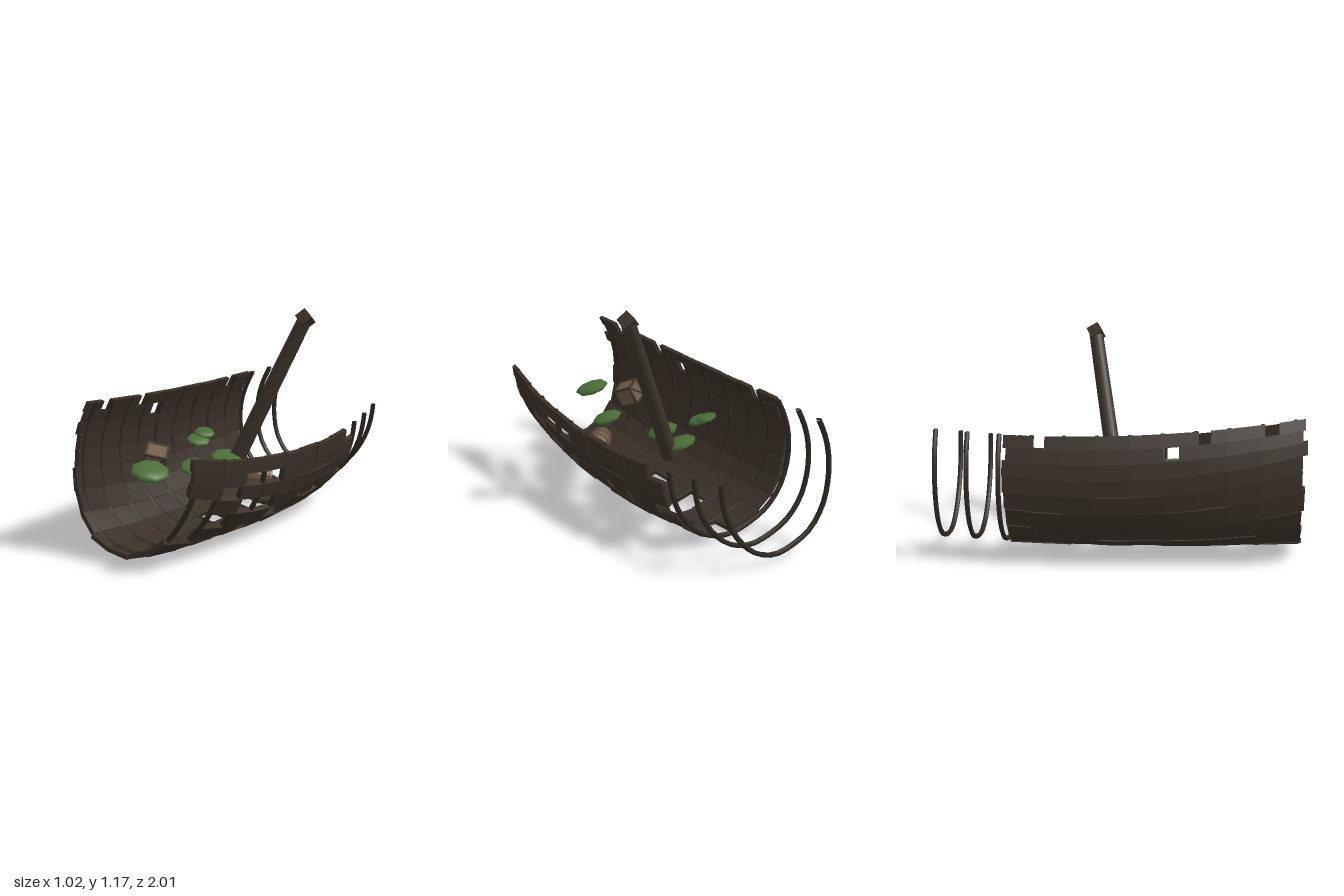
import * as THREE from 'three';
import { mergeGeometries } from 'three/addons/utils/BufferGeometryUtils.js';

const mat = (name, color) => Object.assign(new THREE.MeshStandardMaterial({ color }), { name });
const ROLL = 0.314, YAW = 0.149;
const RIBS = 12, RIB_GAP = 0.1695, RIB_START = -0.952;

// Point on the heeled hull: v along the keel, a from left gunwale (0) to right gunwale (PI)
function hullPoint(v, a, inset = 0) {
  const w = 0.396 - 0.085 * v * v - inset;
  const d = 0.573 + 0.04 * v + 0.04 * v * v - inset;
  const n = 2.6, c = Math.cos(a), s = Math.sin(a);
  const r = (Math.abs(c / w) ** n + Math.abs(s / d) ** n) ** (-1 / n);
  const p = -r * c * (1 + 0.21 * s * c * c), q = -r * s;
  const u = 0.053 + 0.015 * v + p * Math.cos(ROLL) + q * Math.sin(ROLL);
  const y = 0.58 + 0.042 * v + 0.072 * v * v - p * Math.sin(ROLL) + q * Math.cos(ROLL);
  return new THREE.Vector3(
    u * Math.cos(YAW) + v * Math.sin(YAW), y, -u * Math.sin(YAW) + v * Math.cos(YAW));
}

function seeded(seed) {
  return () => {
    seed = (seed * 16807) % 2147483647;
    return seed / 2147483647;
  };
}

export function createModel() {
  const model = new THREE.Group();
  model.name = 'shipwreck';
  const plankMat = mat('weathered planks', 0x3a3028);
  const ribMat = mat('dark ribs', 0x2f2821);
  const mastMat = mat('mast wood', 0x3d342a);
  const barrelMat = mat('barrel wood', 0x6b5540);
  const crateMat = mat('crate boards', 0x6e5a45);
  const frameMat = mat('crate frame', 0x40342a);
  const mossMat = mat('seaweed green', 0x4a6e38);

  function add(name, geometry, material, parent = model) {
    const mesh = new THREE.Mesh(geometry, material);
    mesh.name = name;
    parent.add(mesh);
    return mesh;
  }

  // Ribs, set into the planking
  for (let i = 0; i < RIBS; i++) {
    const v = RIB_START + i * RIB_GAP;
    const pts = [];
    for (let k = 0; k <= 14; k++) pts.push(hullPoint(v, (k / 14) * Math.PI, 0.001));
    add('rib', new THREE.TubeGeometry(new THREE.CatmullRomCurve3(pts), 28, 0.0135, 6), ribMat);
    for (const end of [0, 14]) {
      const cap = new THREE.SphereGeometry(0.0135, 6, 4).scale(1, 0.3, 1);
      cap.translate(pts[end].x, pts[end].y, pts[end].z);
      add('ribTip', cap, ribMat);
    }
  }

  // Planks: one row per bay from stern to bow, one column per strake.
  // 1 = whole plank, h = broken half plank, 0 = missing
  const bays = [
    '111111111101110110',
    'h1111111111h011111',
    '11111111100h11h111',
    '11111111111h11h111',
    '1111111110h1101111',
    '1h1111111111010101',
    'h11111111110110101',
    '111111111101101011',
    'h11111111111000111',
  ];
  const rand = seeded(71);
  const planks = [];
  bays.forEach((row, b) => {
    [...row].forEach((cell, k) => {
      const lift = (rand() - 0.5) * 0.008 - 0.004, j0 = rand() * 0.03, j1 = rand() * 0.03;
      if (cell === '0') return;
      const start = RIB_START + (b + 2) * RIB_GAP + (cell === 'h' ? RIB_GAP / 2 : 0);
      const v0 = start + (b === 0 ? j0 + 0.015 : -j0 * 0.6);
      const v1 = b === 8 ? 0.945 + j1 : RIB_START + (b + 3) * RIB_GAP + j1 * 0.6;
      const g = new THREE.BoxGeometry(1, 1, 1);
      const pos = g.attributes.position;
      for (let i = 0; i < pos.count; i++) {
        const a = ((k + 0.5 + pos.getX(i)) * Math.PI) / 18;
        const v = pos.getZ(i) > 0 ? v1 : v0;
        const p = hullPoint(v, a, lift + pos.getY(i) * 0.022);
        pos.setXYZ(i, p.x, p.y, p.z);
      }
      g.computeVertexNormals();
      planks.push(g);
    });
  });
  add('hullPlanks', mergeGeometries(planks), plankMat);

  // Leaning mast with a block on top and a loose rope
  const mast = new THREE.Group();
  mast.name = 'mast';
  const foot = new THREE.Vector3(-0.067, 0.235, 0.01), head = new THREE.Vector3(0.283, 1.095, -0.2);
  const axis = head.clone().sub(foot), length = axis.length();
  mast.position.copy(foot);
  mast.quaternion.setFromUnitVectors(new THREE.Vector3(0, 1, 0), axis.normalize());
  model.add(mast);
  add('mastPole', new THREE.CylinderGeometry(0.039, 0.046, length, 14).translate(0, length / 2, 0),
    mastMat, mast);
  const block = add('mastHead', new THREE.BoxGeometry(0.07, 0.065, 0.07), mastMat, mast);
  block.position.y = length + 0.012;
  block.rotation.set(-0.35, 0.1, -0.3);
  const rope = new THREE.CatmullRomCurve3([[0.038, 0.1], [0.044, 0.13], [0.046, 0.16], [0.039, 0.2]]
    .map(([x, drop]) => new THREE.Vector3(x, length - drop, 0)));
  add('rope', new THREE.TubeGeometry(rope, 10, 0.003, 5), mastMat, mast);

  // Barrel with hoops
  const barrel = new THREE.Group();
  barrel.name = 'barrel';
  barrel.position.set(0.285, 0.325, 0.18);
  barrel.quaternion.setFromUnitVectors(new THREE.Vector3(0, 1, 0),
    new THREE.Vector3(0.1, -0.025, -0.11).normalize());
  model.add(barrel);
  const profile = [[0, -0.07], [0.048, -0.07], [0.056, -0.038], [0.059, 0],
    [0.056, 0.038], [0.048, 0.07], [0, 0.07]].map(([x, y]) => new THREE.Vector2(x, y));
  const body = new THREE.LatheGeometry(profile, 14).toNonIndexed();
  body.computeVertexNormals();
  add('barrelBody', body, barrelMat, barrel);
  for (const y of [-0.052, -0.02, 0.02, 0.052]) {
    const hoop = new THREE.TorusGeometry(0.0595 - y * y * 2.5, 0.004, 5, 18);
    add('barrelHoop', hoop.rotateX(Math.PI / 2).translate(0, y, 0), barrelMat, barrel);
  }

  // Crate with edge battens and diagonal braces
  const crate = new THREE.Group();
  crate.name = 'crate';
  crate.position.set(-0.082, 0.425, 0.56);
  crate.rotation.set(0.2, 0.7, -0.3, 'ZYX');
  model.add(crate);
  add('crateBox', new THREE.BoxGeometry(0.11, 0.11, 0.11), crateMat, crate);
  for (const a of [-0.053, 0.053]) {
    for (const b of [-0.053, 0.053]) {
      add('crateBatten', new THREE.BoxGeometry(0.117, 0.011, 0.011).translate(0, a, b), frameMat, crate);
      add('crateBatten', new THREE.BoxGeometry(0.011, 0.117, 0.011).translate(a, 0, b), frameMat, crate);
      add('crateBatten', new THREE.BoxGeometry(0.011, 0.011, 0.117).translate(a, b, 0), frameMat, crate);
    }
    const brace = new THREE.BoxGeometry(0.135, 0.01, 0.006).rotateZ(Math.PI / 4);
    add('crateBrace', brace.translate(0, 0, a * 1.06), frameMat, crate);
  }

  // Flat seaweed clumps: x, y, z, radius
  const clumps = [
    [-0.272, 0.4, 0.04, 0.068], [-0.28, 0.43, -0.02, 0.06], [-0.12, 0.31, -0.02, 0.088],
    [-0.125, 0.3, 0.21, 0.092], [0.18, 0.405, 0.3, 0.085], [0.075, 0.425, 0.75, 0.1],
  ];
  clumps.forEach(([x, y, z, r], i) => {
    const clump = add('seaweedClump', new THREE.SphereGeometry(r, 8, 6), mossMat);
    clump.scale.y = 0.3;
    clump.position.set(x, y, z);
    clump.rotation.set(0.12, i * 0.7, -0.28, 'ZXY');
  });

  return model;
}
